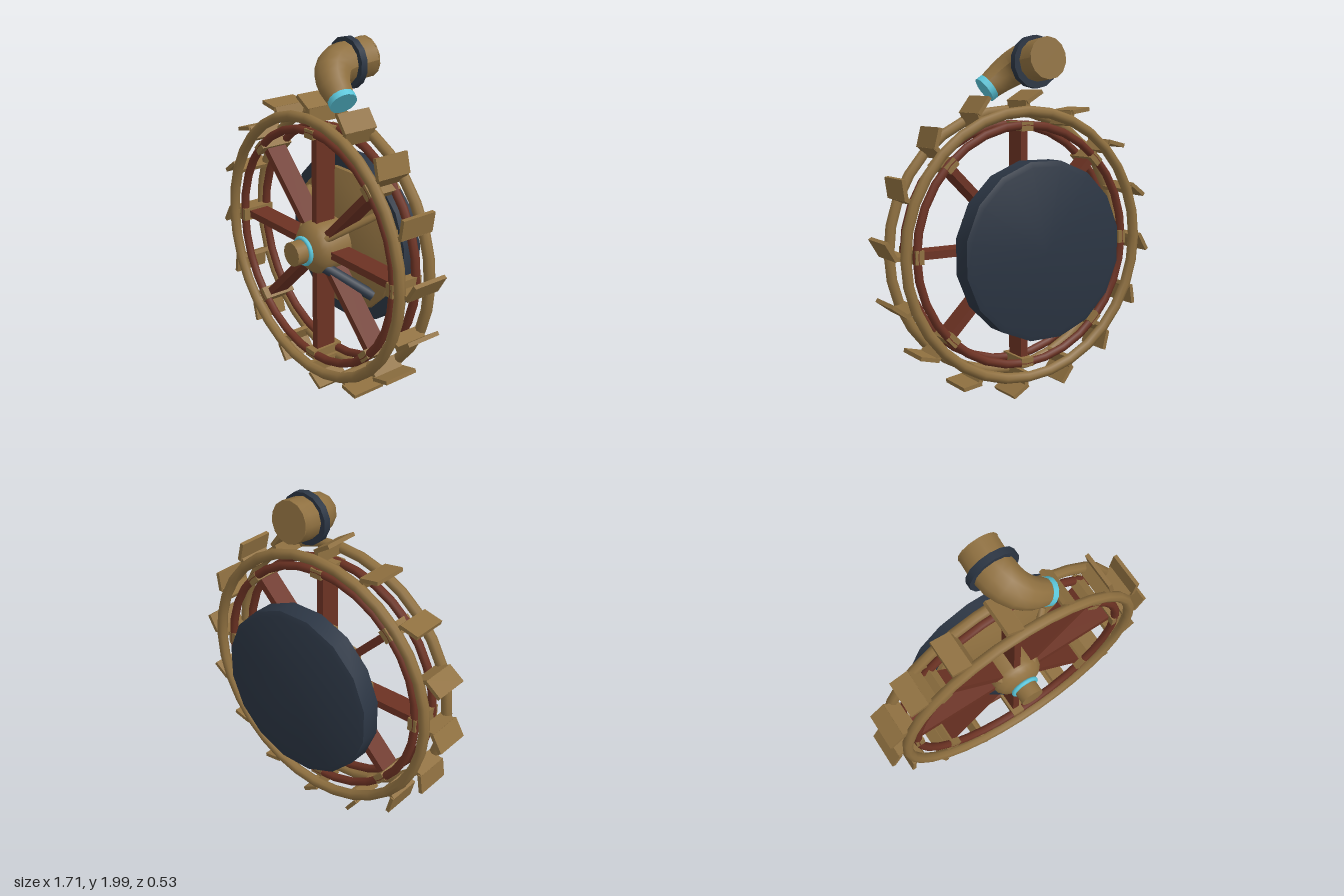
import * as THREE from 'three';
import { toCreasedNormals } from 'three/addons/utils/BufferGeometryUtils.js';

const mat = (name, color) => {
  const m = new THREE.MeshStandardMaterial({ color });
  m.name = name;
  return m;
};

export function createModel() {
  const brass = mat('brass', 0x8f7040);
  const wood = mat('red wood', 0x6c3223);
  const iron = mat('dark iron', 0x2b3543);
  const glow = mat('cyan glow', 0x5ac6da);

  const model = new THREE.Group();
  model.name = 'waterWheel';
  const wheel = new THREE.Group();
  wheel.name = 'wheel';
  wheel.position.y = 0.86;
  model.add(wheel);

  const add = (parent, name, geo, material, x = 0, y = 0, z = 0) => {
    const mesh = new THREE.Mesh(geo, material);
    mesh.name = name;
    mesh.position.set(x, y, z);
    parent.add(mesh);
    return mesh;
  };

  // Lathe about the z axis from [radius, z] points, listed back to front
  const turned = (points, sides, start = 0) => {
    const geo = new THREE.LatheGeometry(points.map(([r, z]) => new THREE.Vector2(r, z)), sides, start);
    return toCreasedNormals(geo.rotateX(Math.PI / 2), 0.7);
  };

  // Paired outer and inner rims
  for (const z of [0.142, -0.06]) {
    add(wheel, 'outerRim', new THREE.TorusGeometry(0.74, 0.03, 8, 32), brass, 0, 0, z);
  }
  for (const z of [0.118, -0.036]) {
    add(wheel, 'innerRim', new THREE.TorusGeometry(0.665, 0.024, 8, 32), wood, 0, 0, z);
  }

  // Eight plank spokes with brackets at the rim
  for (let i = 0; i < 8; i++) {
    const spoke = new THREE.Group();
    spoke.name = 'spokeAssembly';
    spoke.rotation.z = (i * Math.PI) / 4;
    wheel.add(spoke);
    add(spoke, 'spoke', new THREE.BoxGeometry(0.042, 0.57, 0.125), wood, 0, 0.375, 0.041);
    add(spoke, 'bracket', new THREE.BoxGeometry(0.074, 0.05, 0.2), brass, 0, 0.657, 0.041);
  }

  // Sixteen bent paddles
  for (let i = 0; i < 16; i++) {
    const paddle = new THREE.Group();
    paddle.name = 'paddle';
    paddle.rotation.z = (i * Math.PI) / 8;
    wheel.add(paddle);
    add(paddle, 'paddleStem', new THREE.BoxGeometry(0.024, 0.085, 0.19), brass, -0.003, 0.755, 0.041);
    const blade = add(paddle, 'paddleBlade', new THREE.BoxGeometry(0.112, 0.022, 0.208), brass, -0.044, 0.816, 0.041);
    blade.rotation.z = -0.54;
  }

  // Back plate and its domed face
  const half = Math.PI / 16;
  add(wheel, 'backPlate', turned([
    [0, -0.247], [0.46, -0.245], [0.49, -0.235], [0.49, -0.12], [0, -0.12],
  ], 16, half), iron);
  add(wheel, 'domedFace', turned([
    [0.42, -0.122], [0.415, -0.1], [0.34, -0.075], [0.24, -0.05], [0.12, -0.035], [0, -0.03],
  ], 16, half), brass);
  for (let i = 0; i < 8; i++) {
    const a = ((i + 0.5) * Math.PI) / 4;
    add(wheel, 'rivet', new THREE.BoxGeometry(0.03, 0.03, 0.03), brass,
      Math.cos(a) * 0.45, Math.sin(a) * 0.45, -0.11);
  }

  // Hub, glowing ring and axle nose
  add(wheel, 'hub', turned([
    [0.15, -0.1], [0.152, 0.09], [0.145, 0.12], [0.12, 0.148], [0.075, 0.172], [0, 0.178],
  ], 20), brass);
  add(wheel, 'hubRing', new THREE.TorusGeometry(0.073, 0.013, 8, 20), glow, 0, 0, 0.183);
  add(wheel, 'axleNose', turned([
    [0.068, 0.165], [0.068, 0.262], [0, 0.264],
  ], 16), brass);

  // Slanted braces from the hub to the plate
  const brace = (angle, radius, material) => {
    const at = (r, z) => new THREE.Vector3(Math.cos(angle) * r, Math.sin(angle) * r, z);
    const a = at(0.13, 0.105), b = at(0.37, -0.085);
    const mesh = add(wheel, 'brace', new THREE.CylinderGeometry(radius, radius, a.distanceTo(b), 8), material);
    mesh.position.copy(a).lerp(b, 0.5);
    mesh.quaternion.setFromUnitVectors(new THREE.Vector3(0, 1, 0), b.sub(a).normalize());
  };
  for (const side of [0, 1]) {
    const mirror = (a) => (side ? Math.PI - a : a);
    brace(mirror(0.67), 0.022, brass);
    brace(mirror(-0.73), 0.034, iron);
  }

  // Tapered spout pipe
  const path = new THREE.CatmullRomCurve3([
    new THREE.Vector3(0, 1.878, -0.25),
    new THREE.Vector3(0, 1.863, -0.1),
    new THREE.Vector3(0.03, 1.842, -0.005),
    new THREE.Vector3(0.095, 1.79, 0.045),
    new THREE.Vector3(0.185, 1.722, 0.062),
  ]);
  const steps = 10, sides = 12;
  const taper = (t) => (t < 0.4 ? 1 : 1 - 0.38 * (t - 0.4) / 0.6);
  const pipe = new THREE.TubeGeometry(path, steps, 0.112, sides);
  const pos = pipe.attributes.position, v = new THREE.Vector3();
  for (let i = 0; i < pos.count; i++) {
    const t = Math.floor(i / (sides + 1)) / steps;
    const c = path.getPointAt(t);
    v.fromBufferAttribute(pos, i).sub(c).multiplyScalar(taper(t)).add(c);
    pos.setXYZ(i, v.x, v.y, v.z);
  }
  pipe.computeVertexNormals();
  const spout = new THREE.Group();
  spout.name = 'spout';
  model.add(spout);
  add(spout, 'spoutPipe', pipe, brass);

  // Fittings placed along the pipe, axis following the path
  const fitting = (name, radius, depth, material, t) => {
    const geo = new THREE.CylinderGeometry(radius, radius, depth, 14);
    const mesh = add(spout, name, geo, material);
    mesh.position.copy(path.getPointAt(t));
    mesh.quaternion.setFromUnitVectors(new THREE.Vector3(0, 1, 0), path.getTangentAt(t));
  };
  fitting('spoutBackCap', 0.112, 0.008, brass, 0);
  const collar = add(spout, 'spoutCollar', new THREE.CylinderGeometry(0.14, 0.14, 0.04, 14), iron, 0, 1.86, -0.125);
  collar.rotation.x = Math.PI / 2;
  fitting('spoutMouth', 0.074, 0.035, glow, 1);

  return model;
}
